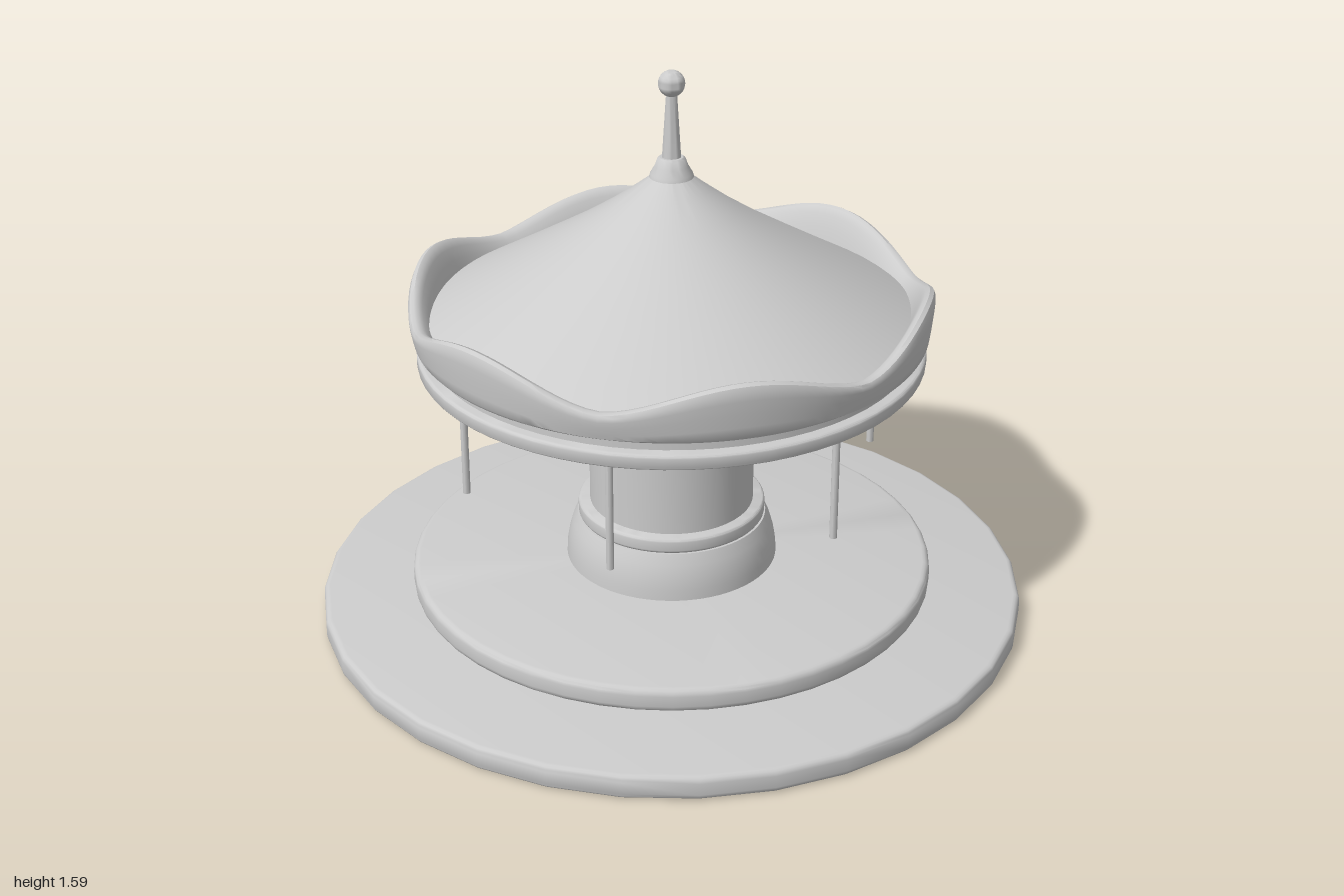
import * as THREE from 'three';
import { toCreasedNormals } from 'three/addons/utils/BufferGeometryUtils.js';

const material = new THREE.MeshStandardMaterial({ color: 0xcccccc });

export function createModel() {
  const model = new THREE.Group();

  function add(name, geometry) {
    const mesh = new THREE.Mesh(toCreasedNormals(geometry, 0.65), material);
    mesh.name = name;
    model.add(mesh);
    return mesh;
  }

  // Turned part from [radius, height] pairs running from bottom to top
  function lathe(points, segments = 64) {
    return new THREE.LatheGeometry(points.map(([r, y]) => new THREE.Vector2(r, y)), segments);
  }

  // Disc profile with rounded top and bottom edges
  function discProfile(radius, y0, y1, bevel) {
    const points = [[0, y0]];
    for (let i = 0; i <= 4; i++) {
      const a = (i / 4) * Math.PI / 2;
      points.push([radius - bevel + bevel * Math.sin(a), y0 + bevel - bevel * Math.cos(a)]);
    }
    for (let i = 0; i <= 4; i++) {
      const a = (i / 4) * Math.PI / 2;
      points.push([radius - bevel + bevel * Math.cos(a), y1 - bevel + bevel * Math.sin(a)]);
    }
    points.push([0, y1]);
    return points;
  }

  // Stepped platform
  add('lowerPlatform', lathe(discProfile(1, 0, 0.07, 0.018), 32));
  add('platformSpacer', lathe([[0.61, 0.065], [0.61, 0.09]], 48));
  add('upperPlatform', lathe(discProfile(0.74, 0.085, 0.155, 0.02), 48));

  // Central column
  add('columnBase', lathe([
    [0.3, 0.15], [0.298, 0.185], [0.292, 0.22], [0.282, 0.255], [0.268, 0.285], [0.2, 0.285],
  ]));
  add('columnCollar', lathe(discProfile(0.265, 0.283, 0.328, 0.01)));
  add('column', lathe([[0.232, 0.32], [0.232, 0.68]]));

  // Rounded bowl under the canopy
  add('canopyBowl', lathe([
    [0.22, 0.668], [0.31, 0.665], [0.345, 0.67], [0.372, 0.685],
    [0.395, 0.71], [0.413, 0.74], [0.43, 0.78],
  ]));

  // Canopy floor and the recessed neck above it
  add('canopyFloor', lathe(discProfile(0.7, 0.775, 0.818, 0.01)));
  add('canopyNeck', lathe([[0.668, 0.81], [0.668, 0.87]]));

  // Scalloped crown: a ring whose height follows six waves
  const bottom = 0.852;
  const crown = lathe([
    [0.64, bottom], [0.697, bottom], [0.705, 0.862], [0.709, 0.89], [0.713, 0.93], [0.716, 0.965],
    [0.716, 0.988], [0.711, 1.002], [0.7, 1.008], [0.688, 1.003],
    [0.677, 0.985], [0.662, 0.95], [0.65, 0.91], [0.642, 0.88], [0.64, bottom],
  ], 120);
  const p = crown.attributes.position;
  for (let i = 0; i < p.count; i++) {
    const angle = Math.atan2(p.getX(i), p.getZ(i));
    const wave = Math.pow(0.5 + 0.5 * Math.cos(6 * angle), 0.8);
    const scale = 0.48 + 0.52 * wave;
    p.setY(i, bottom + (p.getY(i) - bottom) * scale);
  }
  add('scallopedCrown', crown);

  // Slightly concave tent roof
  add('roof', lathe([
    [0.665, 0.905], [0.6, 0.943], [0.51, 0.995], [0.4, 1.06],
    [0.28, 1.132], [0.18, 1.198], [0.1, 1.257], [0.045, 1.3],
  ]));

  // Finial on the roof tip
  add('finialSkirt', lathe([
    [0, 1.29], [0.06, 1.292], [0.057, 1.302], [0.045, 1.322], [0.038, 1.342], [0.032, 1.347], [0, 1.347],
  ], 32));
  add('finialRod', lathe([[0.026, 1.34], [0.021, 1.42], [0.014, 1.53]], 24));
  const ball = add('finialBall', new THREE.SphereGeometry(0.036, 24, 16));
  ball.position.y = 1.55;

  // Six hanging poles, mirrored left and right
  for (const side of [-1, 1]) {
    for (const [x, z] of [[0.59, 0.015], [0.305, 0.515], [0.287, -0.515]]) {
      const pole = add('pole', new THREE.CylinderGeometry(0.0105, 0.0105, 0.36, 12));
      pole.position.set(side * x, 0.605, z);
    }
  }

  return model;
}
